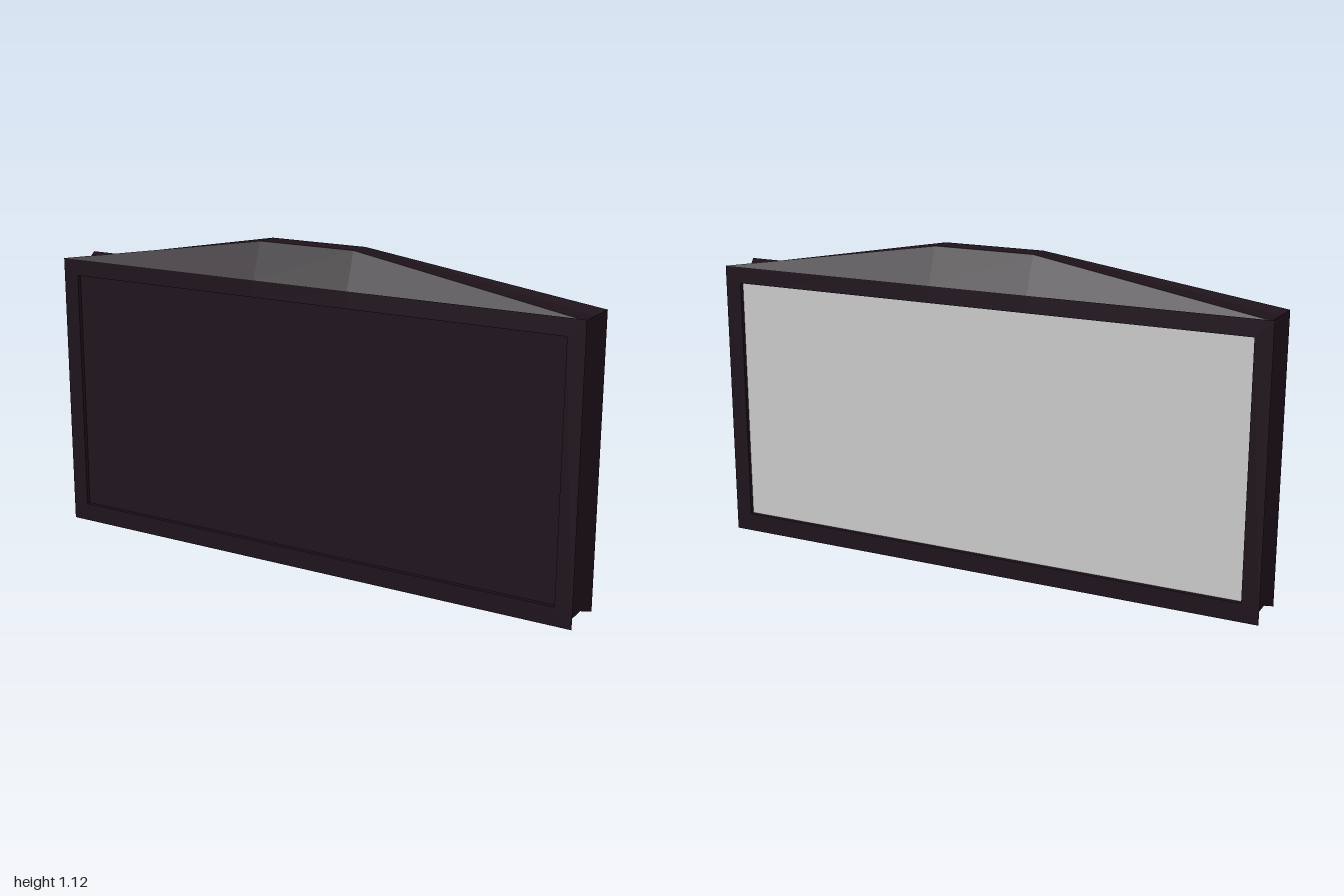
import * as THREE from 'three';

// Six-point outline, counter-clockwise from the front: bottom edge, sides, and a top edge with two middle points
const ring = (halfW, bottom, side, peak, z) => [
  [-halfW, bottom, z], [halfW, bottom, z], [halfW, side, z],
  [0.18, peak, z], [-0.18, peak, z], [-halfW, side, z],
];

// Skin a series of rings, running from front to back
function loft(rings) {
  const pos = [];
  for (let k = 0; k < rings.length - 1; k++) {
    const a = rings[k], b = rings[k + 1];
    for (let i = 0; i < a.length; i++) {
      const j = (i + 1) % a.length;
      pos.push(...a[i], ...b[i], ...a[j], ...a[j], ...b[i], ...b[j]);
    }
  }
  const geo = new THREE.BufferGeometry();
  geo.setAttribute('position', new THREE.Float32BufferAttribute(pos, 3));
  geo.computeVertexNormals();
  return geo;
}

export function createModel() {
  const group = new THREE.Group();
  const dark = new THREE.MeshStandardMaterial({ color: 0x1e121b, flatShading: true });
  const grey = new THREE.MeshStandardMaterial({ color: 0xcccccc });

  const face = 0.085, recess = 0.07;
  const opening = (z) => ring(0.94, 0.065, 0.935, 0.935, z);
  const rim = (z) => ring(1, 0, 0.993, 0.993, z);
  const groove = (z) => ring(0.98, 0.015, 0.98, 1.12, z);

  // Frame with recessed openings, grooved edges and a raised crest
  const frame = new THREE.Mesh(loft([
    opening(recess), opening(face), rim(face), groove(0.043),
    groove(-0.037), rim(-face), opening(-face), opening(-recess),
  ]), dark);
  frame.name = 'frame';
  group.add(frame);

  // Flat panels set into the front and back
  const panelGeo = new THREE.PlaneGeometry(1.88, 0.87);
  for (const [name, z, turn, material] of [
    ['frontPanel', recess, 0, dark],
    ['backPanel', -recess, Math.PI, grey],
  ]) {
    const panel = new THREE.Mesh(panelGeo, material);
    panel.name = name;
    panel.position.set(0, 0.5, z);
    panel.rotation.y = turn;
    group.add(panel);
  }
  return group;
}
